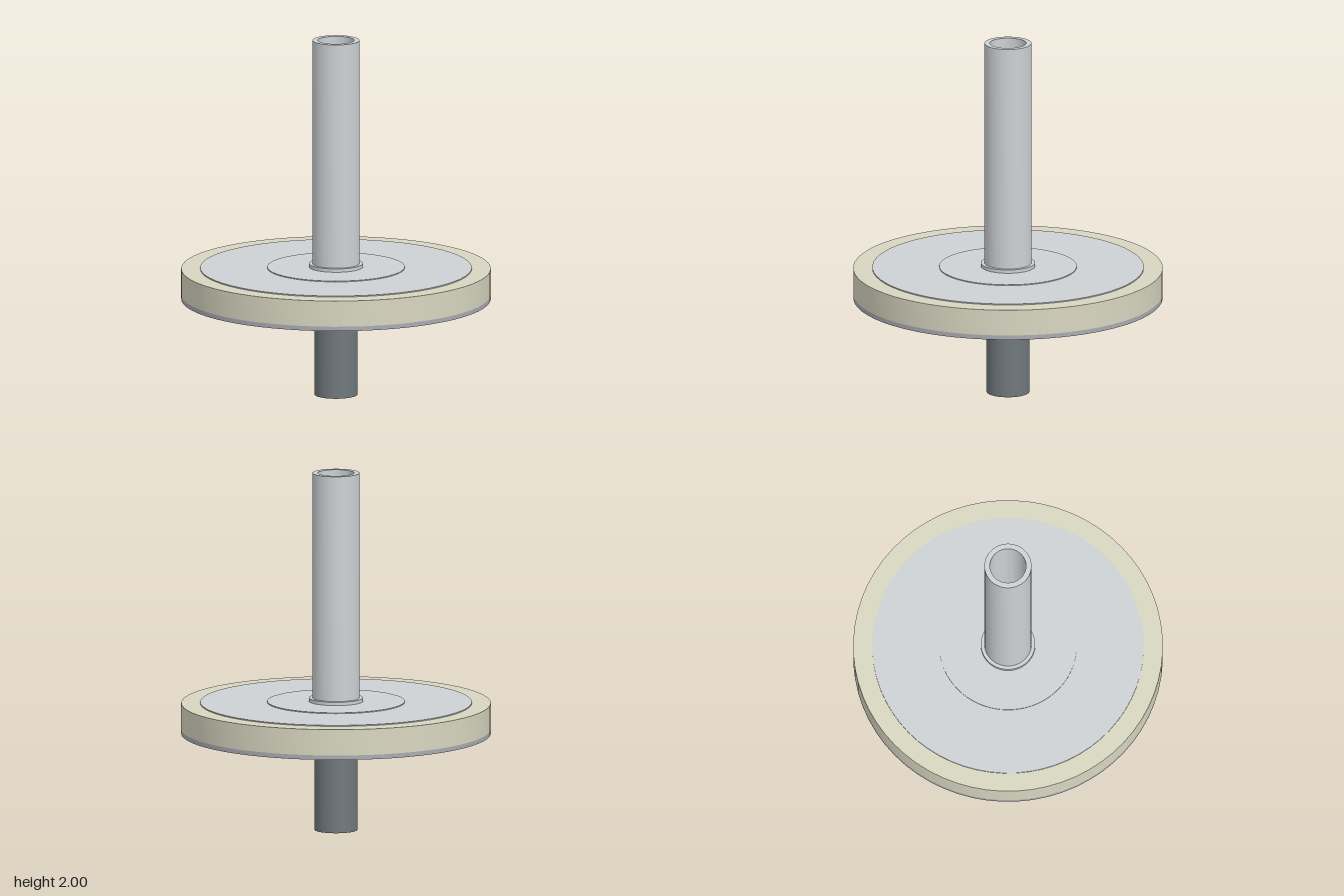
import * as THREE from 'three';
import { toCreasedNormals } from 'three/addons/utils/BufferGeometryUtils.js';

const SEGMENTS = 64;

// Solid ring with a rectangular section, sharp at its rims
function ring(name, inner, outer, bottom, top, color) {
  const profile = [
    [inner, bottom], [outer, bottom], [outer, top], [inner, top], [inner, bottom],
  ].map(([r, y]) => new THREE.Vector2(r, y));
  const geometry = toCreasedNormals(new THREE.LatheGeometry(profile, SEGMENTS), 0.6);
  const mesh = new THREE.Mesh(geometry, new THREE.MeshStandardMaterial({ color }));
  mesh.name = name;
  return mesh;
}

export function createModel() {
  const model = new THREE.Group();
  model.name = 'discOnHollowShaft';
  const bore = 0.1;

  model.add(
    // Hollow shaft: dark lower tube, pale and slightly wider upper tube
    ring('lowerTube', bore, 0.118, 0, 0.56, 0x70787c),
    ring('upperTube', bore, 0.13, 0.72, 2, 0xcdd1d4),
    // Disc: thin base plate below a thick cream body
    ring('basePlate', bore, 0.855, 0.54, 0.565, 0xa9abb2),
    ring('discBody', bore, 0.855, 0.565, 0.71, 0xd8d6c0),
    // Shallow stepped plates on top of the disc
    ring('topPlate', bore, 0.75, 0.71, 0.716, 0xcdd1d4),
    ring('innerPlate', bore, 0.38, 0.716, 0.721, 0xcdd1d4),
    // Collar at the foot of the upper tube
    ring('collar', bore, 0.15, 0.72, 0.74, 0xcdd1d4),
  );
  return model;
}
